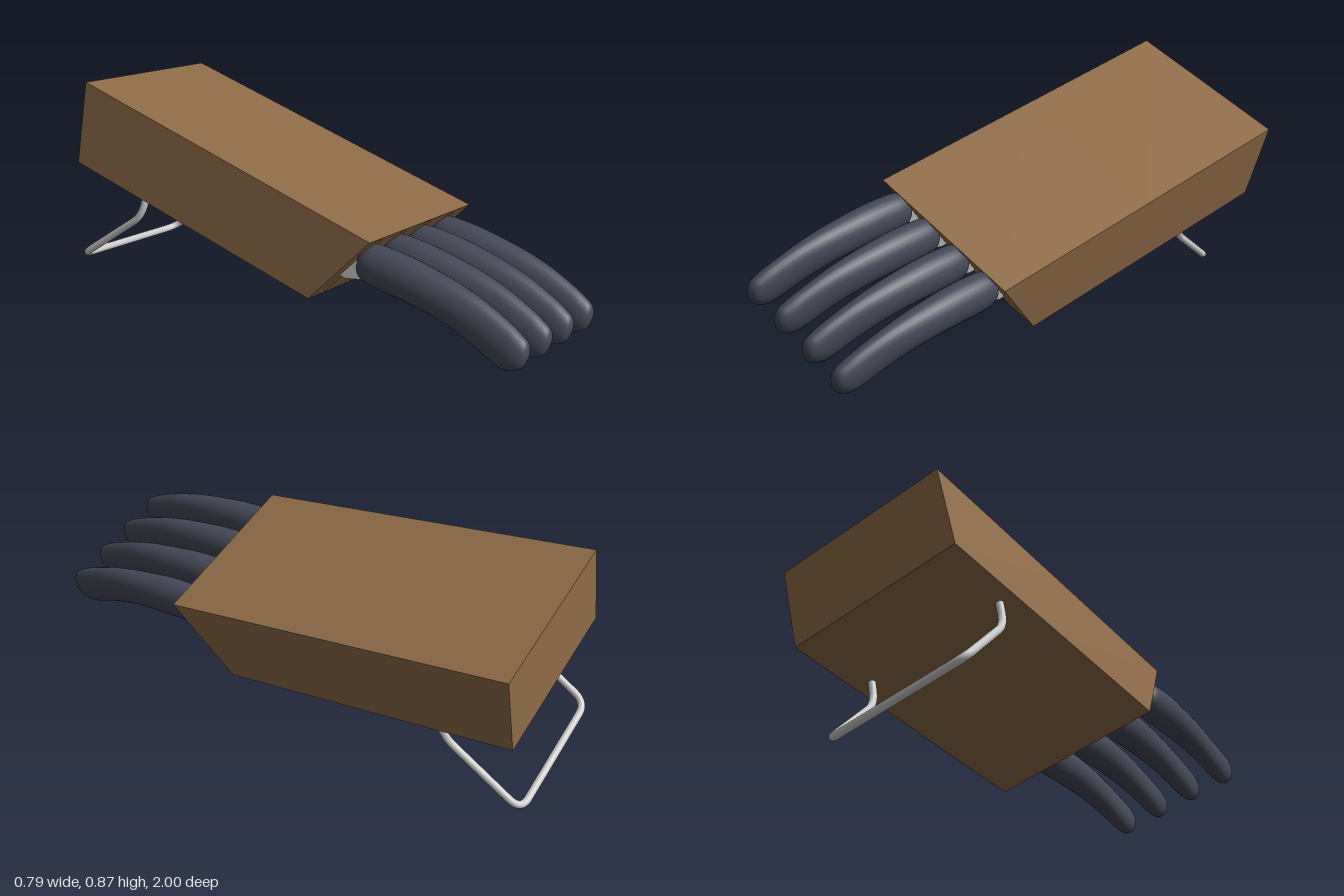
import * as THREE from 'three';
import { mergeVertices } from 'three/addons/utils/BufferGeometryUtils.js';

const wood = new THREE.MeshStandardMaterial({ color: 0x8f6c47 });
const grip = new THREE.MeshStandardMaterial({ color: 0x454857 });
const metal = new THREE.MeshStandardMaterial({ color: 0xcccccc });

const CENTRE = -0.141, HALF = 0.342; // block middle and half width, before the tilt
const SLOTS = [-0.407, -0.244, -0.08, 0.083];

function add(parent, name, geometry, material) {
  const mesh = new THREE.Mesh(geometry, material);
  mesh.name = name;
  parent.add(mesh);
}

function rectangle(Type, x0, x1, y0, y1) {
  return new Type([[x0, y0], [x1, y0], [x1, y1], [x0, y1]].map(([x, y]) => new THREE.Vector2(x, y)));
}

// Section of the block between two depths (0 back, 1 front), bent to the slanted profile
function blockPart(from, to, slotted) {
  const shape = rectangle(THREE.Shape, CENTRE - HALF, CENTRE + HALF, 0, 1);
  if (slotted) {
    shape.holes = SLOTS.map((x) => rectangle(THREE.Path, x - 0.015, x + 0.015, 0.02, 0.965));
  }
  const geo = new THREE.ExtrudeGeometry(shape, { depth: to - from, bevelEnabled: false });
  const p = geo.attributes.position;
  for (let i = 0; i < p.count; i++) {
    const t = p.getY(i), w = p.getZ(i) + from;
    p.setY(i, THREE.MathUtils.lerp(0.452 + 0.327 * t, 0.307 + 0.289 * t, w));
    p.setZ(i, THREE.MathUtils.lerp(-1, 0.165 + 0.21 * t, w));
  }
  geo.computeVertexNormals();
  return geo;
}

// Curved handle: sections of z, centre height, half width, half height
function handleGeometry() {
  const sections = [
    [0.31, 0.494, 0, 0], [0.315, 0.494, 0.04, 0.05], [0.34, 0.494, 0.058, 0.07],
    [0.4, 0.493, 0.064, 0.077], [0.5, 0.491, 0.064, 0.077], [0.6, 0.482, 0.06, 0.076],
    [0.7, 0.467, 0.055, 0.077], [0.8, 0.44, 0.049, 0.081], [0.9, 0.404, 0.045, 0.082],
    [0.95, 0.394, 0.041, 0.069], [0.985, 0.396, 0.028, 0.044], [1, 0.4, 0, 0],
  ];
  const path = new THREE.CatmullRomCurve3(
    sections.map(([z, y]) => new THREE.Vector3(0, y, z)), false, 'catmullrom', 0.5);
  const size = new THREE.CatmullRomCurve3(
    sections.map(([, , w, h]) => new THREE.Vector3(w, h, 0)), false, 'catmullrom', 0.5);
  let geo = new THREE.CylinderGeometry(1, 1, 1, 28, 55, true);
  geo.deleteAttribute('uv');
  geo.deleteAttribute('normal');
  const p = geo.attributes.position;
  for (let i = 0; i < p.count; i++) {
    const t = THREE.MathUtils.clamp(p.getY(i) + 0.5, 0, 1);
    const c = path.getPoint(t), s = size.getPoint(t);
    p.setXYZ(i, p.getX(i) * s.x, c.y - p.getZ(i) * s.y, c.z);
  }
  geo = mergeVertices(geo, 1e-5);
  geo.computeVertexNormals();
  return geo;
}

// Thin blade running back into its slot, parallel to the top of the block
function bladeGeometry() {
  const shape = new THREE.Shape([
    [0.36, 0.555], [0.33, 0.425], [0.26, 0.405], [-0.25, 0.48], [-0.25, 0.63], [0.28, 0.567],
  ].map(([z, y]) => new THREE.Vector2(-z, y)));
  return new THREE.ExtrudeGeometry(shape, { depth: 0.018, bevelEnabled: false })
    .translate(0, 0, -0.009).rotateY(Math.PI / 2);
}

// Bent wire: straight runs joined by rounded corners
function wireGeometry(points, corner, radius) {
  const path = new THREE.CurvePath();
  let start = points[0];
  for (let i = 1; i < points.length - 1; i++) {
    const p = points[i];
    const towards = (q) => p.clone().add(q.clone().sub(p).setLength(corner));
    const a = towards(points[i - 1]), b = towards(points[i + 1]);
    path.add(new THREE.LineCurve3(start, a));
    path.add(new THREE.QuadraticBezierCurve3(a, p, b));
    start = b;
  }
  path.add(new THREE.LineCurve3(start, points[points.length - 1]));
  return new THREE.TubeGeometry(path, 160, radius, 14, false);
}

export function createModel() {
  const model = new THREE.Group();
  model.name = 'knifeBlock';

  // Everything leans sideways by 15 degrees
  const body = new THREE.Group();
  body.name = 'tiltedBody';
  body.rotation.z = -Math.PI / 12;
  model.add(body);

  add(body, 'blockRear', blockPart(0, 0.5, false), wood);
  add(body, 'blockFront', blockPart(0.5, 1, true), wood);

  // Four knives in their slots
  const handle = handleGeometry(), blade = bladeGeometry();
  SLOTS.forEach((x, i) => {
    const knife = new THREE.Group();
    knife.name = `knife${i + 1}`;
    knife.position.x = x;
    add(knife, 'handle', handle, grip);
    add(knife, 'blade', blade, metal);
    body.add(knife);
  });

  // Wire stand under the rear
  const leg = (side) => [[0.43, -0.685], [0.315, -0.695], [0.049, -0.985]]
    .map(([y, z]) => new THREE.Vector3(CENTRE + side * 0.28, y, z));
  add(body, 'wireStand', wireGeometry([...leg(-1), ...leg(1).reverse()], 0.06, 0.0145), metal);

  return model;
}
